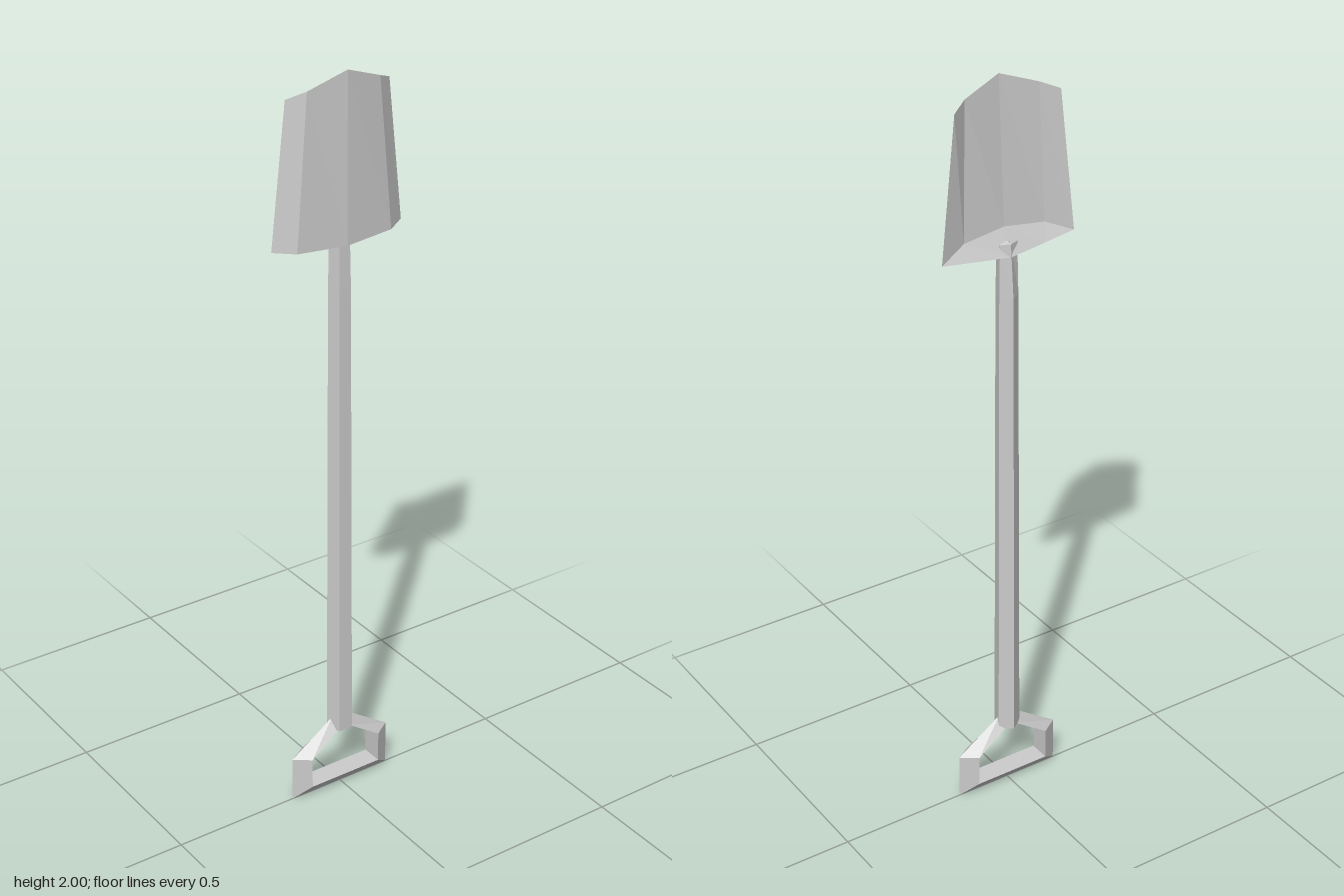
import * as THREE from 'three';

// Skins successive rows of [x, y, z] points; each row has the same length.
function loft(rows) {
  const pos = [];
  for (let r = 0; r < rows.length - 1; r++) {
    const a = rows[r], b = rows[r + 1];
    for (let i = 0; i < a.length - 1; i++) {
      pos.push(...a[i], ...b[i], ...b[i + 1], ...a[i], ...b[i + 1], ...a[i + 1]);
    }
  }
  const g = new THREE.BufferGeometry();
  g.setAttribute('position', new THREE.Float32BufferAttribute(pos, 3));
  g.computeVertexNormals();
  return g;
}

// Mirrors the +x half of a row, given from the centre outwards.
const mirrorRow = (half) => [
  ...half.slice(1).reverse().map(([x, y, z]) => [-x, y, z]),
  ...half,
];

export function createModel() {
  const group = new THREE.Group();
  const steel = new THREE.MeshStandardMaterial({ color: 0xcccccc, flatShading: true });
  steel.name = 'grey';
  const add = (name, geometry) => {
    const mesh = new THREE.Mesh(geometry, steel);
    mesh.name = name;
    group.add(mesh);
  };

  // Blade: thin curved scoop with a sloping ledge at its base
  const tip = mirrorRow([[0, 2, 0.033], [0.103, 1.963, 0.018], [0.147, 1.945, -0.007]]);
  const heel = mirrorRow([[0, 1.566, 0.033], [0.136, 1.573, 0.022], [0.188, 1.578, -0.01]]);
  const ledgeRim = mirrorRow([[0, 1.557, -0.02], [0.1, 1.568, -0.015], [0.188, 1.578, -0.01]]);
  const ledgeInside = mirrorRow([[0, 1.625, 0.012], [0.115, 1.61, 0.009], [0.188, 1.578, -0.01]]);
  add('blade', loft([tip, heel, ledgeRim, ledgeInside, tip]));

  // Shaft: tapering pentagon with its ridge at the back, bevelled under the blade
  const ring = (y, r, backZ = -r) => {
    const row = [];
    for (let i = 0; i <= 5; i++) {
      const t = Math.PI + (i * Math.PI * 2) / 5;
      row.push([r * Math.sin(t), y, i % 5 === 0 ? backZ : r * Math.cos(t)]);
    }
    return row;
  };
  add('shaft', loft([
    ring(1.595, 0, -0.012), ring(1.59, 0.026, -0.018), ring(1.45, 0.029), ring(0.18, 0.035), ring(0.18, 0),
  ]));

  // Grip: triangular bar swept round a D, flat inside and ridged outside
  const side = [
    { inner: [0.107, 0.037], outer: [0.152, 0], depth: 0.029 },
    { inner: [0.107, 0.123], outer: [0.152, 0.125], depth: 0.029 },
    { inner: [0.015, 0.183], outer: [0.025, 0.211], depth: 0.02 },
  ];
  const section = ({ inner: [ix, iy], outer: [ox, oy], depth }, s) => [
    [s * ix, iy, -depth], [s * ox, oy, 0], [s * ix, iy, depth], [s * ix, iy, -depth],
  ];
  add('grip', loft([
    ...[...side].reverse().map((p) => section(p, -1)),
    ...side.map((p) => section(p, 1)),
  ]));

  return group;
}
